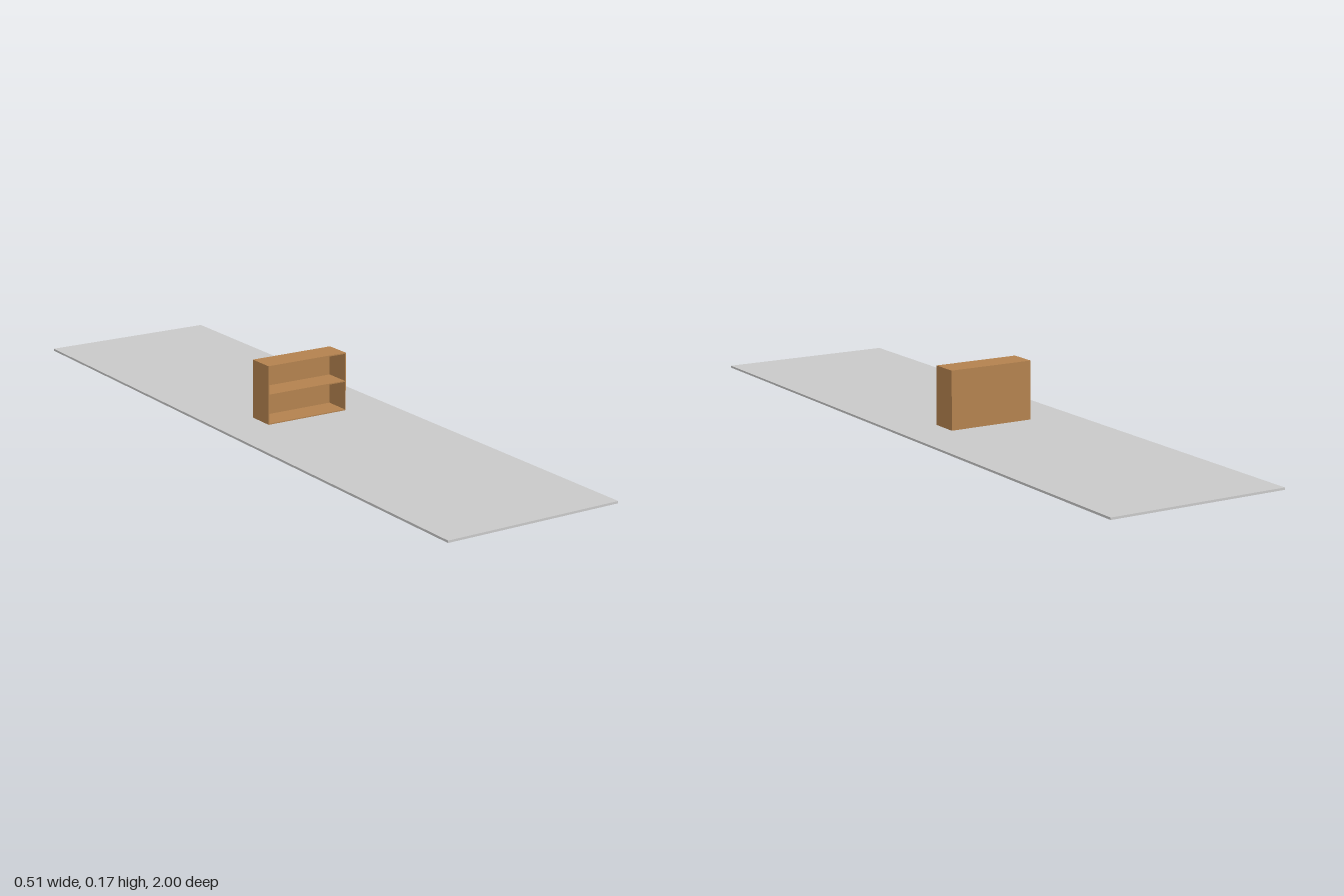
import * as THREE from 'three';

export function createModel() {
  const group = new THREE.Group();
  const grey = new THREE.MeshStandardMaterial({ color: 0xcccccc });
  const wood = new THREE.MeshStandardMaterial({ color: 0xb5834f });

  // Box given by its minimum and maximum corners
  function addBox(name, material, parent, [x0, y0, z0], [x1, y1, z1]) {
    const mesh = new THREE.Mesh(new THREE.BoxGeometry(x1 - x0, y1 - y0, z1 - z0), material);
    mesh.position.set((x0 + x1) / 2, (y0 + y1) / 2, (z0 + z1) / 2);
    mesh.name = name;
    parent.add(mesh);
  }

  // Long floor slab
  const floorTop = 0.006;
  addBox('floor', grey, group, [-0.257, 0, -1], [0.257, floorTop, 1]);

  // Open-fronted bookcase standing on the slab
  const bookcase = new THREE.Group();
  bookcase.name = 'bookcase';
  group.add(bookcase);
  const half = 0.125, top = 0.17, back = -0.072, front = 0.007, t = 0.003;
  const inner = half - t;

  for (const [name, s] of [['leftSide', 1], ['rightSide', -1]]) {
    const x = s * (half - t / 2);
    addBox(name, wood, bookcase, [x - t / 2, floorTop, back], [x + t / 2, top, front]);
  }

  // Bottom board, middle shelf and top board
  const boards = { bottomBoard: floorTop, middleShelf: 0.0875, topBoard: top - t };
  for (const [name, y] of Object.entries(boards)) {
    addBox(name, wood, bookcase, [-inner, y, back], [inner, y + t, front]);
  }

  // Closed back
  addBox('backPanel', wood, bookcase, [-inner, floorTop, back], [inner, top, back + t]);

  return group;
}
